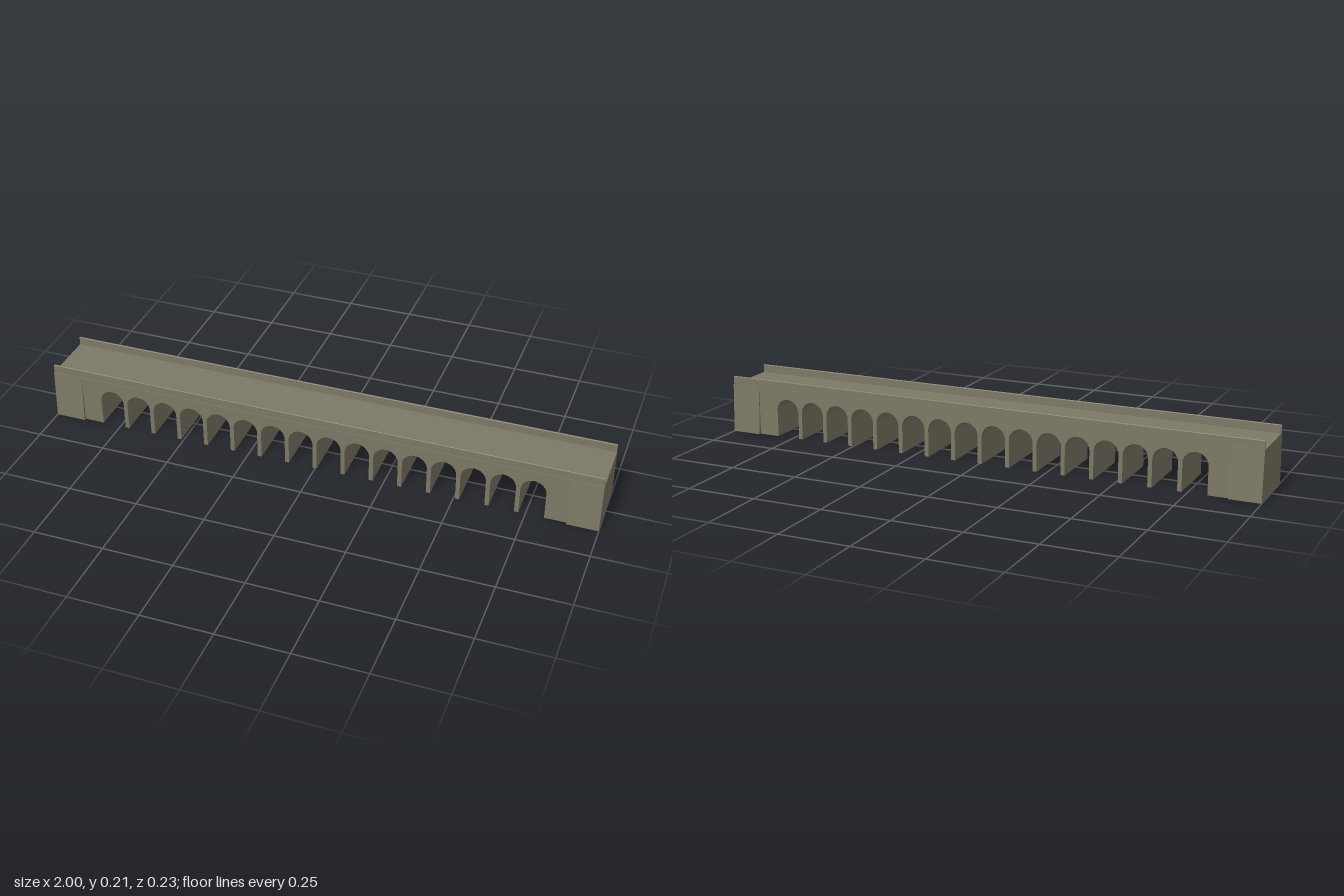
import * as THREE from 'three';

export function createModel() {
  const group = new THREE.Group();
  const stone = new THREE.MeshStandardMaterial({ color: 0x7d7966 });
  stone.name = 'stone';
  const add = (name, geometry, x = 0, y = 0, z = 0) => {
    const mesh = new THREE.Mesh(geometry, stone);
    mesh.name = name;
    mesh.position.set(x, y, z);
    group.add(mesh);
    return mesh;
  };

  // Arcaded body: one outline running along the ground and up through each arch
  const arches = 16, pitch = 0.1029, radius = 0.044, spring = 0.098;
  const deckTop = 0.177, halfDepth = 0.106, abutStart = 0.89;
  const outline = new THREE.Shape();
  outline.moveTo(-0.99, 0);
  for (let i = 0; i < arches; i++) {
    const cx = (i - (arches - 1) / 2) * pitch - 0.002;
    outline.lineTo(cx - radius, 0);
    outline.lineTo(cx - radius, spring);
    outline.absarc(cx, spring, radius, Math.PI, 0, true);
    outline.lineTo(cx + radius, 0);
  }
  outline.lineTo(0.99, 0);
  outline.lineTo(0.99, deckTop);
  outline.lineTo(-0.99, deckTop);
  outline.closePath();
  const body = new THREE.ExtrudeGeometry(outline, {
    depth: halfDepth * 2, bevelEnabled: false, curveSegments: 16,
  });
  add('arcade', body, 0, 0, -halfDepth);

  // End abutments with battered front and back faces
  const section = new THREE.Shape([
    new THREE.Vector2(-0.115, 0), new THREE.Vector2(0.115, 0),
    new THREE.Vector2(0.107, 0.1765), new THREE.Vector2(-0.107, 0.1765),
  ]);
  const width = 1 - abutStart;
  for (const side of [-1, 1]) {
    const geometry = new THREE.ExtrudeGeometry(section, { depth: width, bevelEnabled: false });
    geometry.rotateY(Math.PI / 2);
    add(side > 0 ? 'leftAbutment' : 'rightAbutment', geometry, side > 0 ? abutStart : -1);
  }

  // Deck surface out to the ends
  add('deck', new THREE.BoxGeometry(2, 0.003, 0.212), 0, deckTop - 0.001, 0);

  // Thin parapets with slightly chamfered copings
  const t = 0.003, top = 0.207;
  const wall = new THREE.Shape([
    new THREE.Vector2(-t, 0.17), new THREE.Vector2(t, 0.17),
    new THREE.Vector2(t, top - 0.002), new THREE.Vector2(t * 0.5, top),
    new THREE.Vector2(-t * 0.5, top), new THREE.Vector2(-t, top - 0.002),
  ]);
  for (const side of [-1, 1]) {
    const geometry = new THREE.ExtrudeGeometry(wall, { depth: 2, bevelEnabled: false });
    geometry.rotateY(Math.PI / 2);
    add(side > 0 ? 'frontParapet' : 'backParapet', geometry, -1, 0, side * 0.1);
  }
  return group;
}
